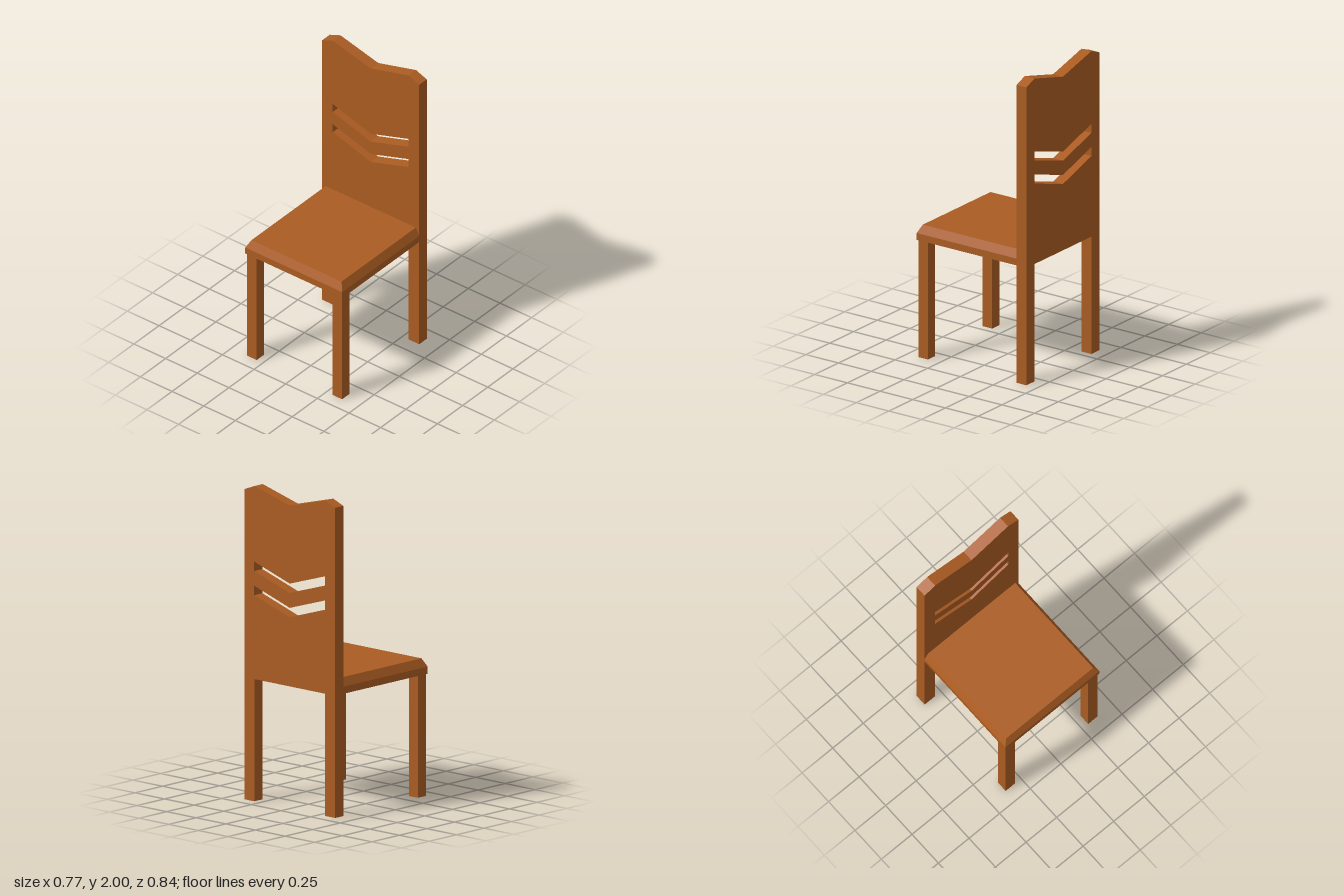
import * as THREE from 'three';

const wood = new THREE.MeshStandardMaterial({ color: 0xab5c22 });
wood.name = 'wood';
wood.side = THREE.DoubleSide; // the legs are open at the foot

const HALF_W = 0.383, SEAT_BOTTOM = 0.775, BACK_Z = -0.42, BACK_DEPTH = 0.075;

// Square tube standing on the floor, without end caps
function makeLeg(name, width, depth, x, z) {
  const geometry = new THREE.BoxGeometry(width, SEAT_BOTTOM, depth);
  const index = Array.from(geometry.index.array);
  index.splice(12, 12); // top and bottom faces
  geometry.setIndex(index);
  geometry.clearGroups();
  const leg = new THREE.Mesh(geometry, wood);
  leg.name = name;
  leg.position.set(x, SEAT_BOTTOM / 2, z);
  return leg;
}

// V-shaped slot through the backrest
function chevron(yOuter, yMiddle, height) {
  return new THREE.Path([
    [-0.3, yOuter], [0, yMiddle], [0.3, yOuter],
    [0.3, yOuter - height], [0, yMiddle - height], [-0.3, yOuter - height],
  ].map(([x, y]) => new THREE.Vector2(x, y)));
}

function makeBackrest() {
  const shape = new THREE.Shape([
    [-HALF_W, SEAT_BOTTOM], [HALF_W, SEAT_BOTTOM], [HALF_W, 1.967],
    [0.298, 2], [0, 1.922], [-0.298, 2], [-HALF_W, 1.967],
  ].map(([x, y]) => new THREE.Vector2(x, y)));
  shape.holes.push(chevron(1.52, 1.427, 0.06), chevron(1.367, 1.273, 0.06));
  const geometry = new THREE.ExtrudeGeometry(shape, { depth: BACK_DEPTH, bevelEnabled: false });
  const back = new THREE.Mesh(geometry, wood);
  back.name = 'backrest';
  back.position.z = BACK_Z;
  return back;
}

// Slab with its top bevelled at the front and both sides
function makeSeat() {
  const zBack = BACK_Z + BACK_DEPTH;
  let geometry = new THREE.BoxGeometry(2, 2, 2, 1, 2, 1);
  const p = geometry.attributes.position;
  for (let i = 0; i < p.count; i++) {
    const x = p.getX(i), y = p.getY(i), z = p.getZ(i);
    const top = y > 0.5;
    p.setXYZ(i,
      x * (top ? 0.356 : HALF_W),
      top ? 0.873 : y < -0.5 ? SEAT_BOTTOM : 0.82,
      z < 0 ? zBack : top ? 0.393 : 0.42);
  }
  geometry = geometry.toNonIndexed();
  geometry.clearGroups();
  geometry.computeVertexNormals();
  const seat = new THREE.Mesh(geometry, wood);
  seat.name = 'seat';
  return seat;
}

export function createModel() {
  const chair = new THREE.Group();
  chair.name = 'chair';
  chair.add(makeBackrest(), makeSeat());
  for (const [side, s] of [['Left', 1], ['Right', -1]]) {
    chair.add(makeLeg('front' + side + 'Leg', 0.076, 0.073, s * 0.337, 0.3755));
    chair.add(makeLeg('back' + side + 'Leg', 0.084, BACK_DEPTH, s * (HALF_W - 0.042), BACK_Z + BACK_DEPTH / 2));
  }
  return chair;
}
